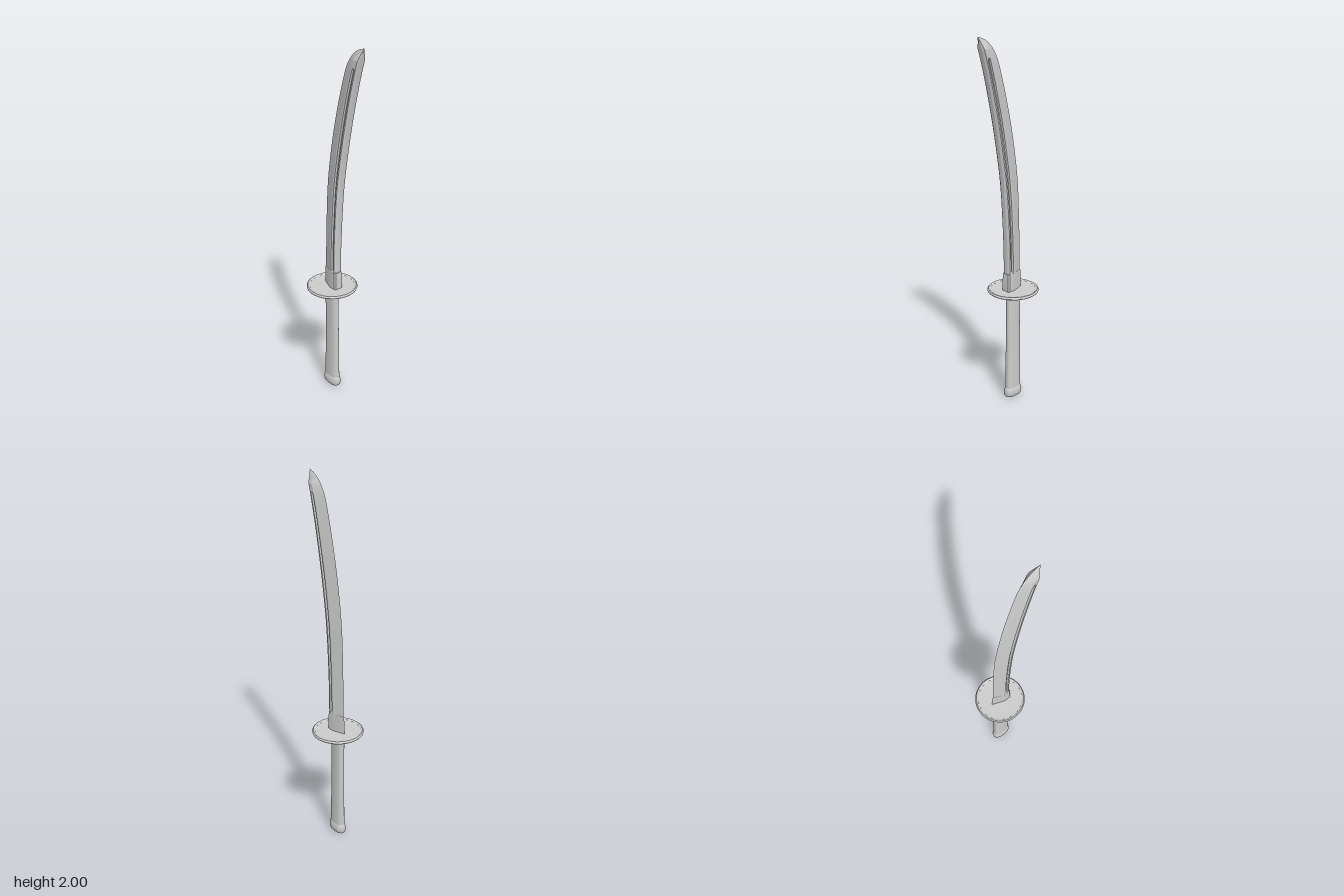
import * as THREE from 'three';
import { toCreasedNormals } from 'three/addons/utils/BufferGeometryUtils.js';

const material = new THREE.MeshStandardMaterial({ color: 0xcccccc });
const AXIS_X = -0.05; // centre line of the hilt

// Skin a stack of equal-length rings (ordered from +x towards +z, bottom to top) and cap both ends.
function loft(rings, crease) {
  const n = rings[0].length, pos = [], idx = [];
  rings.forEach(r => r.forEach(p => pos.push(...p)));
  for (let j = 0; j < rings.length - 1; j++) {
    for (let i = 0; i < n; i++) {
      const k = (i + 1) % n, a = j * n, b = a + n;
      idx.push(a + i, b + i, a + k, a + k, b + i, b + k);
    }
  }
  const cap = (ring, start, top) => {
    const c = pos.length / 3;
    pos.push(...[0, 1, 2].map(d => ring.reduce((s, p) => s + p[d], 0) / n));
    for (let i = 0; i < n; i++) {
      const a = start + i, b = start + (i + 1) % n;
      idx.push(c, top ? b : a, top ? a : b);
    }
  };
  cap(rings[0], 0, false);
  cap(rings[rings.length - 1], (rings.length - 1) * n, true);
  const g = new THREE.BufferGeometry();
  g.setAttribute('position', new THREE.Float32BufferAttribute(pos, 3));
  g.setIndex(idx);
  return toCreasedNormals(g, crease);
}

function add(group, name, geometry) {
  const mesh = new THREE.Mesh(geometry, material);
  mesh.name = name;
  group.add(mesh);
  return mesh;
}

// Flattened oval ring with half widths rx and rz.
function oval(y, rx, rz, n = 40) {
  return Array.from({ length: n }, (_, i) => {
    const a = (i / n) * Math.PI * 2, c = Math.cos(a), s = Math.sin(a), e = 0.8;
    return [AXIS_X + rx * Math.sign(c) * Math.abs(c) ** e, y, rz * Math.sign(s) * Math.abs(s) ** e];
  });
}
const ovalStack = profile => loft(profile.map(([y, rx, rz]) => oval(y, rx, rz)), 0.6);

// Mirror half a section, [x, z] from cutting edge to spine, into a closed ring.
function mirrored(half, y) {
  const back = half.map(([x, z]) => [x, y, -z]);
  const front = half.slice(1).reverse().map(([x, z]) => [x, y, z]);
  return [...back, ...front];
}

// Value of x at height y on a smooth curve through [x, y] points.
function heightCurve(points) {
  const samples = new THREE.SplineCurve(points.map(p => new THREE.Vector2(...p))).getPoints(400);
  return y => {
    let i = 1;
    while (i < samples.length - 1 && samples[i].y < y) i++;
    const a = samples[i - 1], b = samples[i];
    return THREE.MathUtils.mapLinear(y, a.y, b.y, a.x, b.x);
  };
}

function bladeGeometry() {
  const edgeLow = heightCurve([[-0.1, 0.66], [-0.096, 0.9], [-0.084, 1.2], [-0.06, 1.4], [-0.022, 1.6], [0.023, 1.78], [0.05, 1.87]]);
  const edgeTip = heightCurve([[0.05, 1.87], [0.068, 1.91], [0.096, 1.95], [0.135, 1.983], [0.18, 2.0]]);
  const spine = heightCurve([[0, 0.66], [0.003, 0.9], [0.022, 1.2], [0.049, 1.4], [0.085, 1.6], [0.129, 1.8], [0.182, 2.0]]);
  const ys = [0.66, 0.745, 0.76];
  for (let i = 1; i <= 28; i++) ys.push(0.76 + (i / 28) * 1.11);
  ys.push(1.885, 1.9, 1.915, 1.93, 1.94, 1.955, 1.97, 1.98, 1.99, 1.996, 2.0);
  return loft(ys.map(y => {
    const x0 = y > 1.87 ? edgeTip(y) : edgeLow(y), x1 = Math.max(spine(y), x0 + 0.001);
    const thick = 0.025 * Math.max(0.02, Math.min(1, (2 - y) / 0.06));
    const floor = y > 0.75 && y < 1.89 ? 0.6 : 1; // fuller depth
    return mirrored([
      [0, 0], [0.6, 1], [0.7, 1], [0.73, floor], [0.82, floor], [0.85, 1], [0.93, 1], [1, 0.45],
    ].map(([t, z]) => [x0 + (x1 - x0) * t, z * thick]), y);
  }), 0.35);
}

export function createModel() {
  const sword = new THREE.Group();
  sword.name = 'sword';

  add(sword, 'blade', bladeGeometry());

  // Wedge-shaped collar at the root of the blade
  const collar = [[0.635, 1.04], [0.68, 1.04], [0.72, 1.02], [0.742, 0.97], [0.744, 0.9]];
  add(sword, 'bladeCollar', loft(collar.map(([y, s]) => mirrored(
    [[-0.054, 0], [0.012, 0.026], [0.046, 0.026], [0.054, 0.02]].map(([x, z]) => [AXIS_X + x * s, z * s]), y)), 0.4));

  // Round guard, dished on both faces inside a rounded rim
  const rim = [[0, 0.637], [0.06, 0.637], [0.121, 0.638], [0.125, 0.634], [0.131, 0.633], [0.136, 0.637], [0.137, 0.641]];
  const outline = [...rim, ...rim.slice(0, -1).reverse().map(([r, y]) => [r, 1.282 - y])];
  const guard = add(sword, 'guard', toCreasedNormals(
    new THREE.LatheGeometry(outline.map(p => new THREE.Vector2(...p)), 64), 0.8));
  guard.position.x = AXIS_X;

  add(sword, 'handleCollar', ovalStack([
    [0.592, 0.045, 0.021], [0.595, 0.051, 0.026], [0.602, 0.054, 0.029], [0.615, 0.055, 0.03], [0.638, 0.055, 0.03],
  ]));

  add(sword, 'handle', ovalStack([
    [0.03, 0.049, 0.025], [0.15, 0.047, 0.024], [0.3, 0.045, 0.023], [0.45, 0.044, 0.022], [0.6, 0.044, 0.023],
  ]));

  // Swollen pommel cap
  add(sword, 'pommel', ovalStack([
    [0, 0.042, 0.018], [0.004, 0.049, 0.025], [0.013, 0.054, 0.03], [0.028, 0.055, 0.031],
    [0.042, 0.054, 0.03], [0.052, 0.051, 0.027], [0.06, 0.047, 0.023],
  ]));

  return sword;
}
